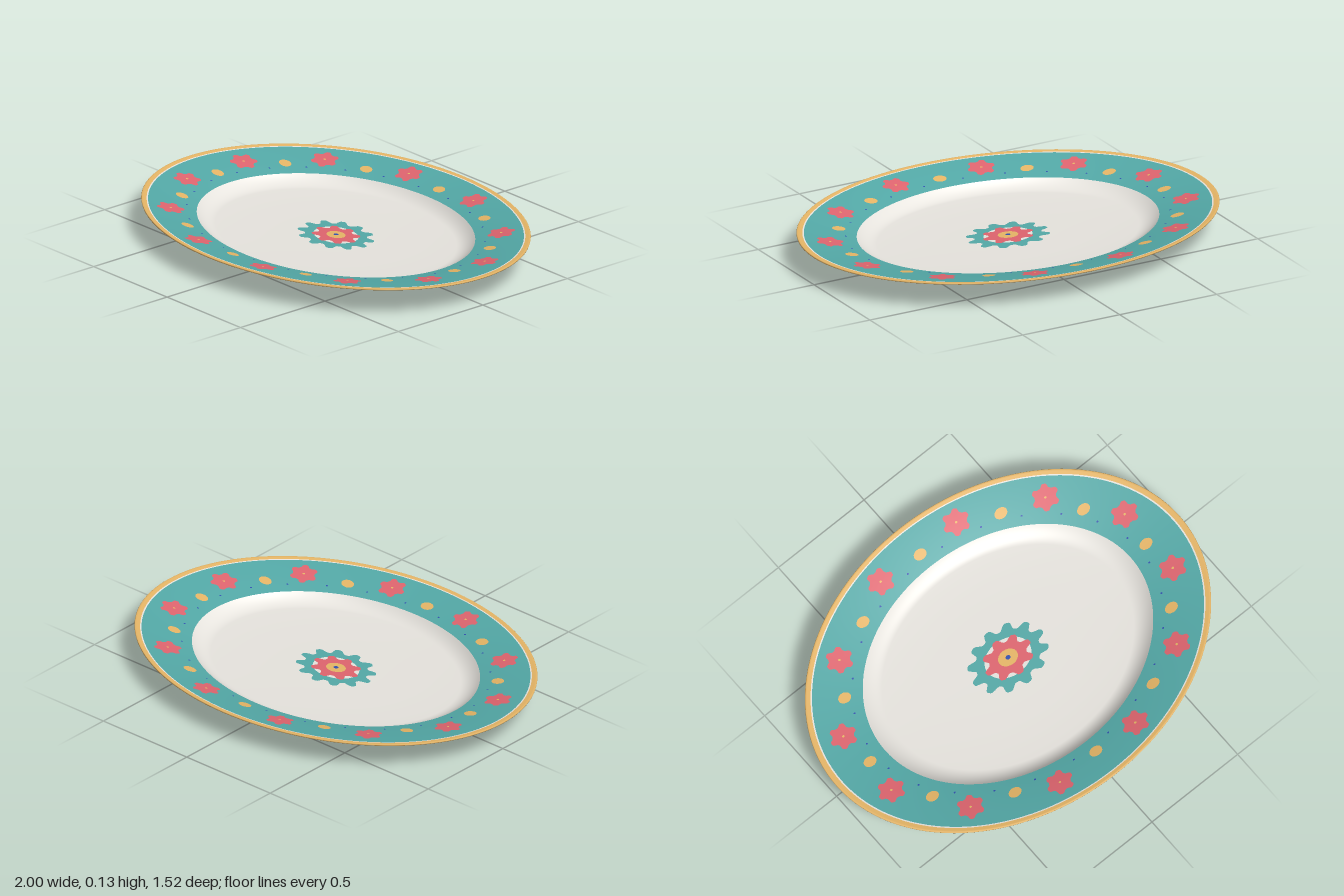
import * as THREE from 'three';

const DEPTH = 0.758; // oval ratio, z to x
const LIP = 0.715, STEP = 0.62, GAP = 0.965, GILT = 0.972;

const paint = (name, color) => {
  const m = new THREE.MeshStandardMaterial({ color });
  m.name = name;
  return m;
};

// Height of the upper face at a radius measured along x
function topY(r) {
  if (r > LIP) {
    const t = (r - LIP) / (1 - LIP);
    return 0.09 + 0.044 * (1.2 * t - 0.2 * t * t);
  }
  const u = Math.max(0, (r - STEP) / (LIP - STEP));
  return 0.042 + 0.012 * (r / LIP) ** 4 + 0.036 * u * u;
}

// Oval surface of revolution
function oval(name, points, material) {
  const geo = new THREE.LatheGeometry(points.map(([r, y]) => new THREE.Vector2(r, y)), 128);
  geo.scale(1, 1, DEPTH);
  const mesh = new THREE.Mesh(geo, material);
  mesh.name = name;
  return mesh;
}

// Stretch of the upper face, from outer to inner radius
function band(outer, inner, steps) {
  const pts = [];
  for (let i = 0; i <= steps; i++) {
    const r = outer + (inner - outer) * i / steps;
    pts.push([r, topY(r)]);
  }
  return pts;
}

// Painted blunt-petalled shape or dot that follows the upper face
function motif(name, material, o) {
  const { x = 0, z = 0, rx, rz, petals = 0, wave = 0, hole = 0, lift = 0.002 } = o;
  const n = petals ? petals * 12 : 20;
  const pos = [], index = [];
  for (let i = 0; i <= n; i++) {
    const a = i / n * Math.PI * 2;
    const f = 1 - wave + wave * THREE.MathUtils.clamp(1.5 * Math.cos(petals * a), -1, 1);
    for (const k of [hole, (hole + f) / 2, f]) {
      const px = x + Math.cos(a) * rx * k, pz = z + Math.sin(a) * rz * k;
      pos.push(px, topY(Math.hypot(px, pz / DEPTH)) + lift, pz);
    }
    if (i < n) {
      for (let j = 0; j < 2; j++) {
        const p = i * 3 + j;
        index.push(p, p + 3, p + 1, p + 1, p + 3, p + 4);
      }
    }
  }
  const geo = new THREE.BufferGeometry();
  geo.setAttribute('position', new THREE.Float32BufferAttribute(pos, 3));
  geo.setIndex(index);
  geo.computeVertexNormals();
  const mesh = new THREE.Mesh(geo, material);
  mesh.name = name;
  return mesh;
}

export function createModel() {
  const white = paint('glazed white', 0xf0ede7);
  const teal = paint('teal', 0x54aaa8);
  const coral = paint('coral', 0xe0656f);
  const gold = paint('gold', 0xeebc6a);
  const blue = paint('dark blue', 0x3050b0);
  const plate = new THREE.Group();
  plate.name = 'plate';

  // Underside with raised foot ring
  plate.add(oval('underside', [
    [0, 0.018], [0.3, 0.018], [0.44, 0.018], [0.46, 0.016], [0.475, 0.008], [0.485, 0.002],
    [0.495, 0], [0.508, 0.001], [0.516, 0.006], [0.522, 0.013], [0.535, 0.021], [0.56, 0.028],
    [0.62, 0.044], [0.7, 0.067], [0.78, 0.088], [0.86, 0.105], [0.93, 0.117], [0.99, 0.125],
  ], white));

  // Upper face in coloured bands
  plate.add(oval('giltEdge', [[0.99, 0.125], [0.999, 0.127], [1, 0.131], ...band(0.997, GILT, 3)], gold));
  plate.add(oval('whiteLine', band(GILT, GAP, 2), white));
  plate.add(oval('tealRim', band(GAP, LIP, 12), teal));
  plate.add(oval('well', [...band(LIP, STEP, 10), ...band(0.58, 0, 10)], white));

  // Flowers, dots and specks around the rim
  const border = new THREE.Group();
  border.name = 'rimDecoration';
  plate.add(border);
  const at = (deg, r) => {
    const a = THREE.MathUtils.degToRad(deg);
    return { x: Math.cos(a) * r, z: Math.sin(a) * r * DEPTH };
  };
  for (let i = 0; i < 12; i++) {
    const flower = at(15 + i * 30, 0.85);
    border.add(motif('rimFlower', coral, { ...flower, rx: 0.066, rz: 0.06, petals: 6, wave: 0.12 }));
    border.add(motif('rimFlowerCentre', gold, { ...flower, rx: 0.006, rz: 0.005, lift: 0.003 }));
    border.add(motif('rimDot', gold, { ...at(i * 30, 0.805), rx: 0.032, rz: 0.024 }));
    for (const side of [-1, 1]) {
      border.add(motif('blueSpeck', blue, { ...at(i * 30 + side * 7.5, 0.767), rx: 0.005, rz: 0.004 }));
    }
  }

  // Central rosette
  const rosette = new THREE.Group();
  rosette.name = 'rosette';
  plate.add(rosette);
  rosette.add(
    motif('tealPetals', teal, { rx: 0.2, rz: 0.15, petals: 12, wave: 0.1, hole: 0.58 }),
    motif('coralPetals', coral, { rx: 0.125, rz: 0.095, petals: 8, wave: 0.13, lift: 0.003 }),
    motif('goldCentre', gold, { rx: 0.049, rz: 0.038, lift: 0.004 }),
    motif('blueCentre', blue, { rx: 0.012, rz: 0.01, lift: 0.005 }),
  );
  return plate;
}
